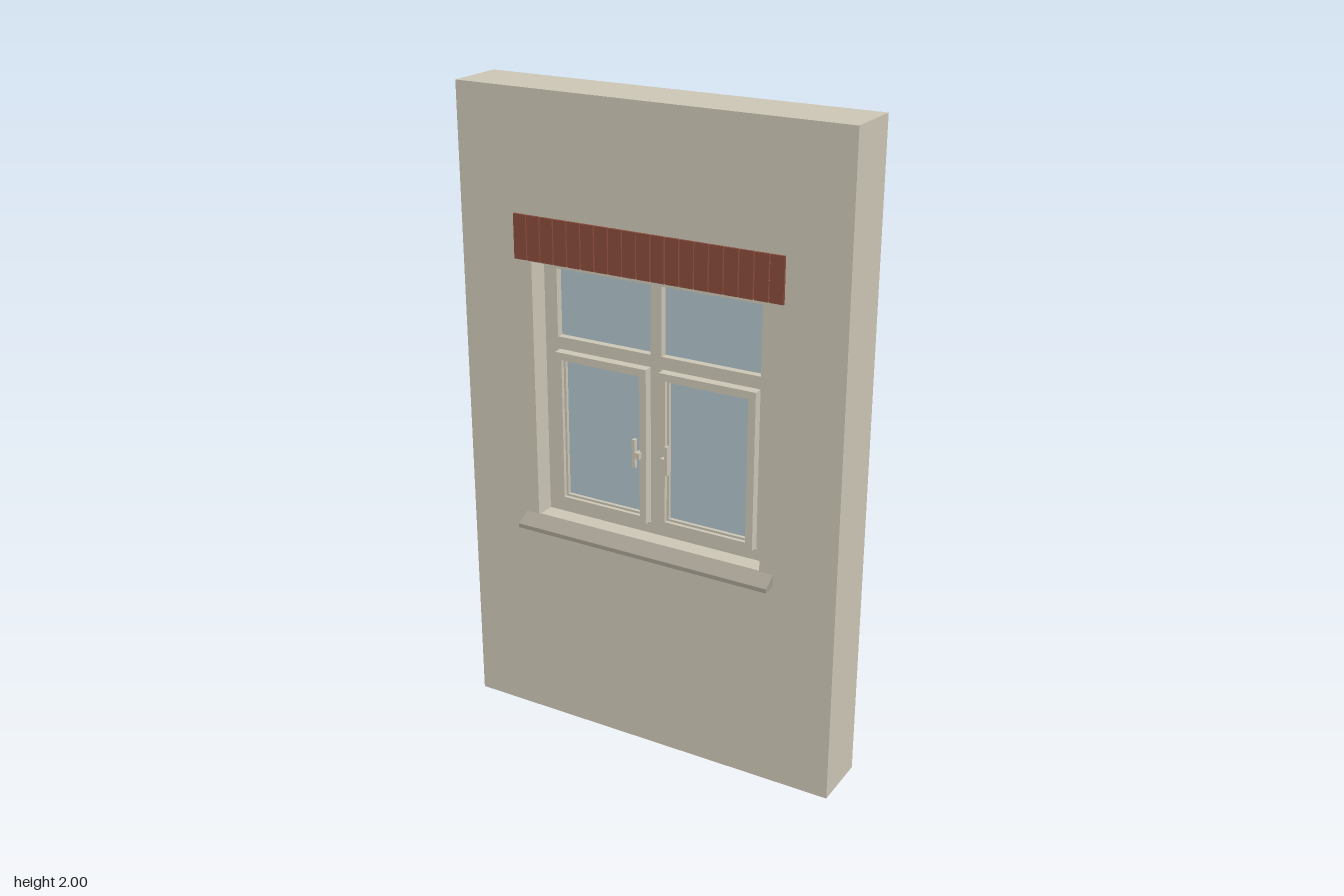
import * as THREE from 'three';

const mat = (name, color) => {
  const m = new THREE.MeshStandardMaterial({ color });
  m.name = name;
  return m;
};

// rectangle given as [x0, y0, x1, y1]
function trace(path, [x0, y0, x1, y1]) {
  path.moveTo(x0, y0);
  path.lineTo(x1, y0);
  path.lineTo(x1, y1);
  path.lineTo(x0, y1);
  path.closePath();
  return path;
}

// rectangular panel with rectangular holes, from zBack to zFront
function panel(name, material, outer, holes, zBack, zFront) {
  const shape = trace(new THREE.Shape(), outer);
  holes.forEach(h => shape.holes.push(trace(new THREE.Path(), h)));
  const geo = new THREE.ExtrudeGeometry(shape, { depth: zFront - zBack, bevelEnabled: false });
  geo.translate(0, 0, zBack);
  const mesh = new THREE.Mesh(geo, material);
  mesh.name = name;
  return mesh;
}

const inset = ([x0, y0, x1, y1], d) => [x0 + d, y0 + d, x1 - d, y1 - d];
const mirror = ([x0, y0, x1, y1]) => [-x1, y0, -x0, y1];

export function createModel() {
  const plaster = mat('plaster', 0xcbc5b4);
  const stone = mat('sill stone', 0xa39d90);
  const brick = mat('brick', 0x874a3b);
  const glass = mat('glass', 0xb0c2c9);

  const group = new THREE.Group();
  group.name = 'windowWall';

  // wall with one opening
  const opening = [-0.38, 0.69, 0.38, 1.5];
  group.add(panel('wall', plaster, [-0.622, 0, 0.622, 2], [opening], -0.116, 0.07));

  // fixed frame: two top lights over two casements
  const light = [0.018, 1.26, 0.337, 1.47];
  const bay = [0.018, 0.725, 0.337, 1.222];
  group.add(panel('windowFrame', plaster, opening,
    [light, mirror(light), bay, mirror(bay)], -0.05, 0.005));

  for (const side of [1, -1]) {
    const place = r => (side > 0 ? r : mirror(r));
    group.add(panel('topGlass', glass, place(light), [], -0.026, -0.018));

    // opening casement: outer sash, thinner inner bead, pane and handle
    const casement = new THREE.Group();
    casement.name = side > 0 ? 'leftCasement' : 'rightCasement';
    const sash = inset(bay, 0.003);
    const mid = inset(sash, 0.022);
    const pane = inset(sash, 0.029);
    casement.add(
      panel('sash', plaster, place(sash), [place(mid)], -0.015, 0.028),
      panel('glazingBead', plaster, place(mid), [place(pane)], -0.01, 0.016),
      panel('casementGlass', glass, place(pane), [], -0.002, 0.005),
      panel('handleMount', plaster, place([0.036, 0.94, 0.05, 0.96]), [], 0.02, 0.044),
      panel('handle', plaster, place([0.05, 0.91, 0.06, 1.0]), [], 0.03, 0.044),
      panel('handleNeck', plaster, place([0.046, 0.94, 0.056, 0.96]), [], 0.028, 0.044)
    );
    group.add(casement);
  }

  // sloping sill, profile drawn in (z, y) and swept along x
  const profile = new THREE.Shape([
    [0.065, 0.655], [0.115, 0.655], [0.115, 0.668], [0.07, 0.693], [0.065, 0.693]
  ].map(p => new THREE.Vector2(...p)));
  const sillGeo = new THREE.ExtrudeGeometry(profile, { depth: 0.85, bevelEnabled: false });
  sillGeo.rotateY(-Math.PI / 2);
  // the rotation flips the profile's depth, so turn it round to face the front
  sillGeo.rotateY(Math.PI);
  sillGeo.computeBoundingBox();
  const b = sillGeo.boundingBox;
  sillGeo.translate(-(b.min.x + b.max.x) / 2, 0, 0);
  if (b.max.z <= 0) sillGeo.rotateY(Math.PI);
  const sill = new THREE.Mesh(sillGeo, stone);
  sill.name = 'sill';
  group.add(sill);

  // upright brick course above the opening
  const lintel = new THREE.Group();
  lintel.name = 'brickLintel';
  const count = 19, pitch = 0.0458, gap = 0.004;
  const brickGeo = new THREE.BoxGeometry(pitch - gap, 0.134, 0.012);
  for (let i = 0; i < count; i++) {
    const m = new THREE.Mesh(brickGeo, brick);
    m.name = 'brick';
    m.position.set((i - (count - 1) / 2) * pitch, 1.571, 0.072);
    lintel.add(m);
  }
  group.add(lintel);

  return group;
}
